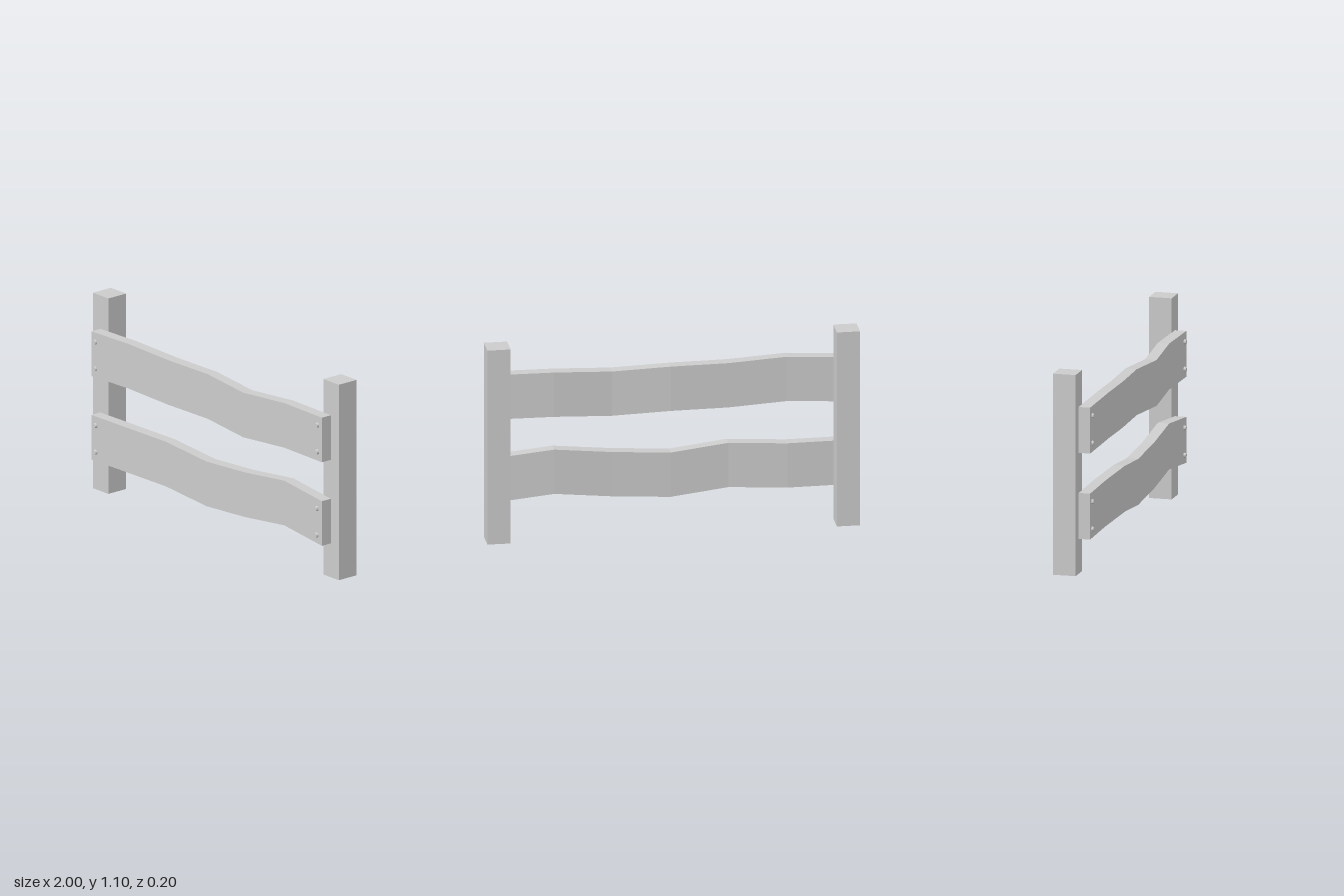
import * as THREE from 'three';

const material = new THREE.MeshStandardMaterial({ color: 0xcccccc, flatShading: true });

function addMesh(parent, geometry, name, x, y, z) {
  const mesh = new THREE.Mesh(geometry, material);
  mesh.name = name;
  mesh.position.set(x, y, z);
  parent.add(mesh);
  return mesh;
}

// Warped board: a segmented box whose cross-sections shift in y and z
function plankGeometry(length, height, depth, dy, dz) {
  const segments = dy.length - 1;
  const geometry = new THREE.BoxGeometry(length, height, depth, segments, 1, 1);
  const pos = geometry.attributes.position;
  for (let i = 0; i < pos.count; i++) {
    const s = Math.round((pos.getX(i) / length + 0.5) * segments);
    pos.setY(i, pos.getY(i) + dy[s]);
    pos.setZ(i, pos.getZ(i) + dz[s]);
  }
  geometry.computeVertexNormals();
  return geometry;
}

export function createModel() {
  const fence = new THREE.Group();
  fence.name = 'fence';

  // Square posts
  const postHeight = 1.095;
  for (const side of [-1, 1]) {
    addMesh(fence, new THREE.BoxGeometry(0.125, postHeight, 0.125),
      side > 0 ? 'leftPost' : 'rightPost', side * 0.9375, postHeight / 2, -0.0375);
  }

  // Two crooked rails, each bolted to the posts with two bolts per end
  const rails = [
    { name: 'upperRail', y: 0.783, boltX: [-0.905, 0.9],
      dy: [0, 0.014, 0, 0, -0.018, 0, 0],
      dz: [0, 0.013, 0, -0.008, 0.013, -0.006, 0] },
    { name: 'lowerRail', y: 0.315, boltX: [-0.905, 0.895],
      dy: [0, 0, 0.013, -0.02, 0, 0.033, 0],
      dz: [0, -0.006, 0.014, 0, 0, -0.006, 0] },
  ];
  const boltGeometry = new THREE.CylinderGeometry(0.011, 0.015, 0.014, 10).rotateX(Math.PI / 2);
  for (const { name, y, boltX, dy, dz } of rails) {
    const rail = new THREE.Group();
    rail.name = name;
    rail.position.set(0, y, 0.0565);
    fence.add(rail);
    addMesh(rail, plankGeometry(1.876, 0.25, 0.063, dy, dz), 'plank', -0.002, 0, 0);
    for (const x of boltX) {
      for (const by of [-0.075, 0.074]) addMesh(rail, boltGeometry, 'bolt', x, by, 0.036);
    }
  }
  return fence;
}
